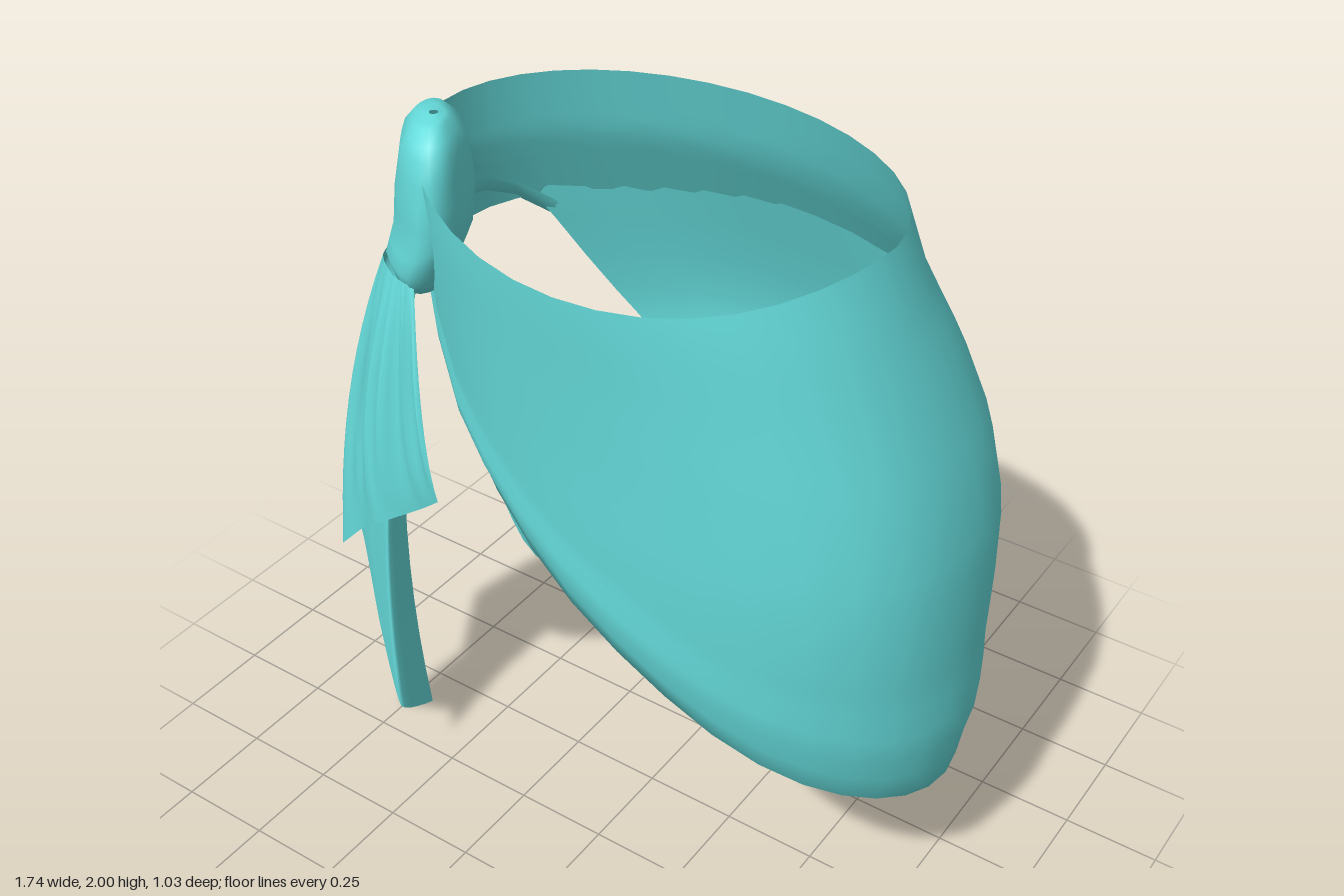
import * as THREE from 'three';

const cloth = new THREE.MeshStandardMaterial({ color: 0x66dcdc, side: THREE.DoubleSide });
cloth.name = 'turquoise cloth';

// Smooth surface from fn(u, v) -> [x, y, z]; u and v run 0..1
function surface(name, fn, nu, nv, closed = false) {
  const pos = [], index = [], cols = closed ? nu : nu + 1;
  for (let j = 0; j <= nv; j++)
    for (let i = 0; i < cols; i++) pos.push(...fn(i / nu, j / nv));
  for (let j = 0; j < nv; j++)
    for (let i = 0; i < nu; i++) {
      const a = j * cols + i, b = j * cols + (i + 1) % cols;
      index.push(a, b, a + cols, b, b + cols, a + cols);
    }
  const g = new THREE.BufferGeometry();
  g.setAttribute('position', new THREE.Float32BufferAttribute(pos, 3));
  g.setIndex(index);
  g.computeVertexNormals();
  const mesh = new THREE.Mesh(g, cloth);
  mesh.name = name;
  return mesh;
}

// Linear lookup in rows whose first entry falls from row to row
function lookup(rows, y) {
  let i = 0;
  while (i < rows.length - 2 && rows[i + 1][0] > y) i++;
  const a = rows[i], b = rows[i + 1];
  const t = THREE.MathUtils.clamp((a[0] - y) / (a[0] - b[0]), 0, 1);
  return a.map((v, k) => v + (b[k] - v) * t);
}

// Hip outline at each height: y, right x, left x, back z, front z
const hips = [
  [1.98, -0.45, 0.665, -0.21, 0.525], [1.8, -0.47, 0.71, -0.27, 0.515],
  [1.6, -0.50, 0.77, -0.39, 0.495], [1.4, -0.515, 0.825, -0.475, 0.48],
  [1.2, -0.51, 0.86, -0.515, 0.47], [1.0, -0.49, 0.868, -0.495, 0.455],
  [0.8, -0.46, 0.868, -0.46, 0.43], [0.5, -0.40, 0.853, -0.42, 0.40],
];
function hipPoint(angle, y, inset = 0) {
  const [, x0, x1, z0, z1] = lookup(hips, y);
  const c = Math.cos(angle), s = Math.sin(angle);
  // the left front corner is fuller around the middle heights
  const mid = Math.sin(Math.PI * THREE.MathUtils.clamp((y - 0.5) / 1.45, 0, 1));
  const full = c > 0 && s > 0 ? 1 + 0.1 * mid * Math.sin(2 * angle) ** 2 : 1;
  return [
    (x0 + x1) / 2 + ((x1 - x0) / 2 - inset) * c * full, y,
    (z0 + z1) / 2 + ((z1 - z0) / 2 - inset) * s * full,
  ];
}
const rimHeight = (s) => 1.95 + (s < 0 ? -0.03 * s : -0.12 * s * s);
const hemHeight = (x) => 1.03 - 0.79 * x + 0.2 * x * x + Math.max(0, -0.28 - x);
function hemAt(angle) {
  let y = 1;
  for (let i = 0; i < 30; i++) y += 0.5 * (hemHeight(hipPoint(angle, y)[0]) - y);
  return y;
}

// Wrapped skirt with a slanting hem that is turned under
function skirt() {
  return surface('wrapSkirt', (u, v) => {
    const a = u * Math.PI * 2, top = rimHeight(Math.sin(a)), hem = hemAt(a);
    const t = v * 20;
    if (t > 18.5) return hipPoint(a, hem + (t - 18) * 0.03, 0.025);
    const f = t / 18;
    const roll = 0.01 * Math.exp(-(((f - 0.86) / 0.05) ** 2));
    return hipPoint(a, top + (hem - top) * f, Math.max(0, f - 0.9) * 0.12 - roll);
  }, 36, 20, true);
}

// Brief under the skirt: strip running front, crotch, back (y, z, half width)
function brief() {
  const rows = [
    [1.65, 0.475, 0.46], [1.3, 0.455, 0.31], [1.15, 0.435, 0.25], [1.0, 0.39, 0.18],
    [0.91, 0.28, 0.11], [0.85, 0.13, 0.06], [0.84, -0.05, 0.05], [0.86, -0.2, 0.09],
    [0.94, -0.36, 0.18], [1.1, -0.455, 0.31], [1.3, -0.46, 0.43], [1.66, -0.34, 0.55],
  ];
  const path = new THREE.CatmullRomCurve3(rows.map((r) => new THREE.Vector3(r[2], r[0], r[1])));
  const strip = surface('briefPanel', (u, v) => {
    const p = path.getPoint(v), s = (u * 2 - 1) * p.x;
    return [0.11 + s, p.y, 0.02 + (p.z - 0.02) * Math.sqrt(Math.max(0, 1 - (s / 0.58) ** 2))];
  }, 10, 33);
  const band = surface('briefHipBand', (u, v) =>
    hipPoint(u * Math.PI * 2, 1.74 - 0.13 * v, 0.015), 36, 2, true);
  return [strip, band];
}

// Knot at the right hip: diagonal oval sections (x, y, z, half length, half thickness)
function knot() {
  const rows = [
    [-0.365, 2.0, 0.28, 0.01, 0.01], [-0.375, 1.99, 0.275, 0.08, 0.04],
    [-0.385, 1.94, 0.265, 0.15, 0.07], [-0.40, 1.83, 0.25, 0.185, 0.085],
    [-0.415, 1.73, 0.245, 0.19, 0.085], [-0.44, 1.65, 0.26, 0.165, 0.08],
    [-0.43, 1.60, 0.28, 0.11, 0.06], [-0.42, 1.58, 0.29, 0.01, 0.01],
  ];
  const n = rows.length - 1;
  return surface('knot', (u, v) => {
    const i = Math.min(Math.floor(v * n), n - 1), f = v * n - i;
    const [x, y, z, len, thick] = rows[i].map((q, k) => q + (rows[i + 1][k] - q) * f);
    const a = -u * Math.PI * 2, fold = 1 + 0.05 * Math.sin(5 * a + 8 * y);
    const l = len * Math.cos(a), t = thick * Math.sin(a) * fold;
    return [x + 0.6 * l - 0.8 * t, y, z + 0.8 * l + 0.6 * t];
  }, 18, 14, true);
}

// Hanging tail: columns fan from the knot and zigzag back in layers
function tail() {
  const columns = [ // top, middle, hem
    [[-0.37, 1.62, 0.38], [-0.315, 1.33, 0.45], [-0.28, 1.12, 0.46]],
    [[-0.39, 1.63, 0.39], [-0.38, 1.30, 0.44], [-0.37, 1.04, 0.43]],
    [[-0.42, 1.64, 0.39], [-0.48, 1.27, 0.44], [-0.49, 0.96, 0.45]],
    [[-0.46, 1.65, 0.37], [-0.56, 1.24, 0.39], [-0.59, 0.87, 0.40]],
    [[-0.50, 1.64, 0.33], [-0.65, 1.20, 0.33], [-0.73, 0.72, 0.34]],
    [[-0.54, 1.62, 0.26], [-0.76, 1.10, 0.20], [-0.87, 0.57, 0.13]],
    [[-0.50, 1.61, 0.24], [-0.68, 1.02, 0.23], [-0.72, 0.39, 0.25]],
    [[-0.45, 1.60, 0.28], [-0.575, 0.92, 0.32], [-0.575, 0.24, 0.35]],
    [[-0.47, 1.60, 0.24], [-0.59, 0.88, 0.24], [-0.60, 0.13, 0.20]],
    [[-0.50, 1.60, 0.21], [-0.68, 0.85, 0.19], [-0.77, 0.005, 0.16]],
  ];
  const rails = [0, 1, 2].map((k) => new THREE.CatmullRomCurve3(
    columns.map((c) => new THREE.Vector3(...c[k])), false, 'catmullrom', 0.25));
  return surface('hangingTail', (u, v) => {
    const [a, m, b] = rails.map((r) => r.getPoint(u));
    const at = (k) => {
      const mid = 2 * m[k] - (a[k] + b[k]) / 2; // curve passes through the middle rail
      return (1 - v) ** 2 * a[k] + 2 * v * (1 - v) * mid + v * v * b[k];
    };
    const pleat = u < 0.5 ? 0.012 * Math.sin(u * 76) * Math.sin(Math.PI * Math.min(1, v * 1.1)) : 0;
    return [at('x'), at('y'), at('z') + pleat];
  }, 54, 12);
}

export function createModel() {
  const model = new THREE.Group();
  model.name = 'knottedWrapSkirt';
  model.add(skirt(), ...brief(), knot(), tail());
  return model;
}
